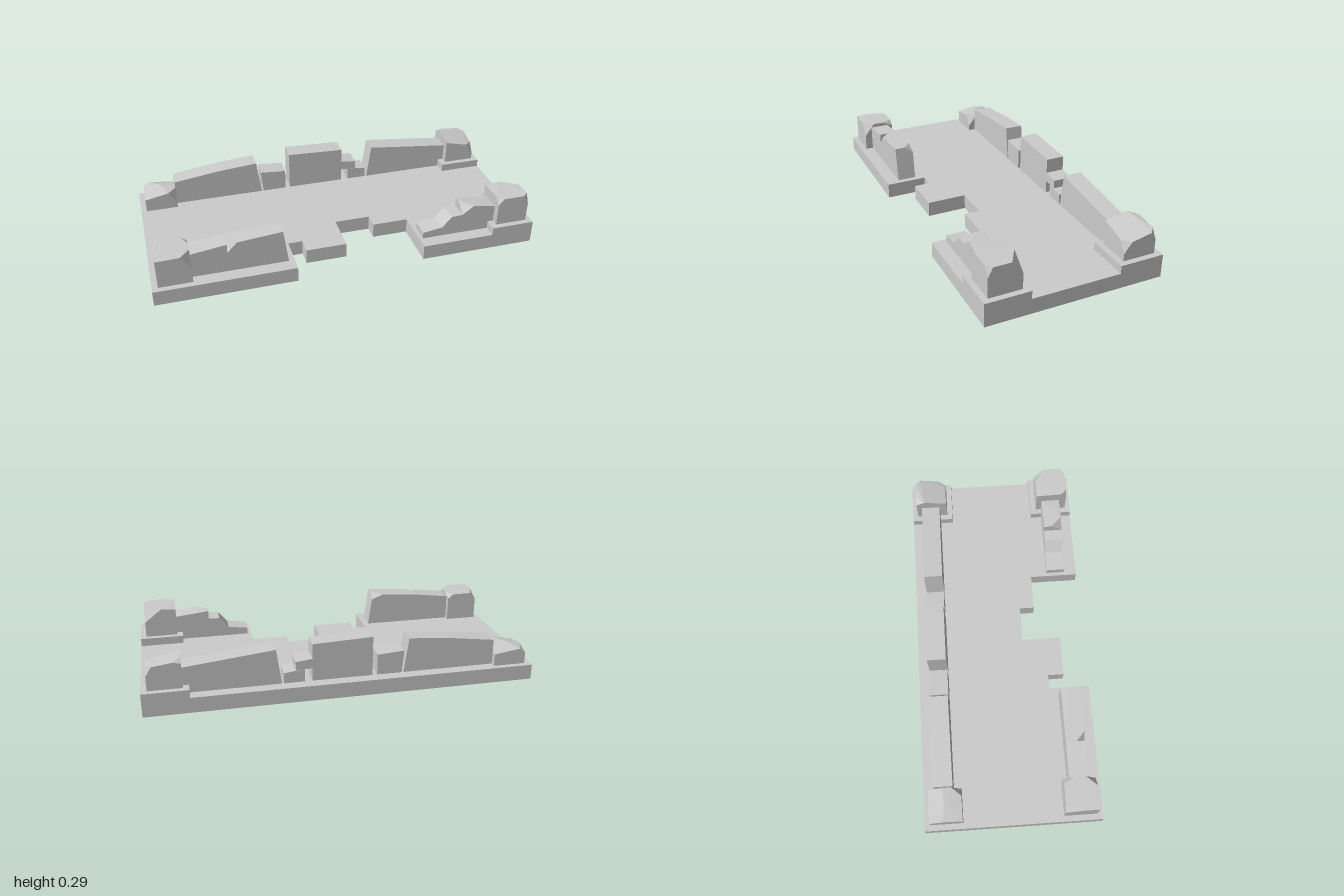
import * as THREE from 'three';
import { ConvexGeometry } from 'three/addons/geometries/ConvexGeometry.js';

const FLOOR = 0.08;

export function createModel() {
  const model = new THREE.Group();
  const stone = new THREE.MeshStandardMaterial({ color: 0xcccccc, flatShading: true });

  const add = (name, geometry) => {
    const mesh = new THREE.Mesh(geometry, stone);
    mesh.name = name;
    model.add(mesh);
    return mesh;
  };

  // Box given by its limits on each axis
  const block = (name, x0, x1, y0, y1, z0, z1) => {
    const mesh = add(name, new THREE.BoxGeometry(x1 - x0, y1 - y0, z1 - z0));
    mesh.position.set((x0 + x1) / 2, (y0 + y1) / 2, (z0 + z1) / 2);
  };

  // Broken stone: convex body around its corner points
  const rock = (name, points) =>
    add(name, new ConvexGeometry(points.map((p) => new THREE.Vector3(...p))));

  // Wall piece: side profile in x and y, pushed through its thickness in z
  const wall = (name, profile, z0, z1) => {
    const shape = new THREE.Shape(profile.map((p) => new THREE.Vector2(...p)));
    const geometry = new THREE.ExtrudeGeometry(shape, { depth: z1 - z0, bevelEnabled: false });
    add(name, geometry.translate(0, 0, z0));
  };

  // Post: square foot with a chipped top
  const post = (name, x0, x1, z0, z1, y0, top) => {
    const foot = [[x0, y0, z0], [x1, y0, z0], [x1, y0, z1], [x0, y0, z1]];
    rock(name, [...foot, ...top]);
  };

  // Floor slab with a broken front edge
  const outline = [
    [-1, -0.46], [1, -0.46], [1, 0.46], [0.385, 0.46], [0.385, 0.2], [0.195, 0.2], [0.195, 0.12],
    [0.005, 0.12], [0.005, 0.33], [-0.21, 0.33], [-0.21, 0.245], [-0.285, 0.245], [-0.285, 0.46], [-1, 0.46],
  ];
  const floor = new THREE.Shape(outline.map(([x, z]) => new THREE.Vector2(x, -z)));
  add('floorSlab', new THREE.ExtrudeGeometry(floor, { depth: FLOOR, bevelEnabled: false }).rotateX(-Math.PI / 2));

  // Plinths under the two posts at +x
  block('frontPlinth', 0.77, 1, FLOOR, 0.122, 0.23, 0.46);
  block('backPlinth', 0.77, 1, FLOOR, 0.122, -0.46, -0.23);

  // Corner posts
  post('frontLeftPost', 0.8, 0.97, 0.26, 0.43, 0.122, [
    [0.8, 0.27, 0.26], [0.88, 0.275, 0.26], [0.97, 0.205, 0.26], [0.97, 0.275, 0.315],
    [0.97, 0.275, 0.405], [0.97, 0.225, 0.43], [0.94, 0.275, 0.43],
    [0.83, 0.275, 0.43], [0.8, 0.24, 0.43], [0.8, 0.275, 0.4],
  ]);
  post('backLeftPost', 0.8, 0.97, -0.43, -0.26, 0.122, [
    [0.8, 0.25, -0.26], [0.93, 0.22, -0.26], [0.97, 0.16, -0.26], [0.97, 0.215, -0.3],
    [0.97, 0.238, -0.405], [0.97, 0.197, -0.43], [0.94, 0.245, -0.43],
    [0.84, 0.258, -0.43], [0.8, 0.25, -0.43], [0.8, 0.273, -0.38],
  ]);
  post('frontRightPost', -0.97, -0.8, 0.26, 0.43, FLOOR, [
    [-0.97, 0.2, 0.26], [-0.94, 0.235, 0.26], [-0.83, 0.235, 0.26], [-0.8, 0.21, 0.26],
    [-0.8, 0.235, 0.32], [-0.8, 0.235, 0.375], [-0.8, 0.165, 0.43],
    [-0.85, 0.235, 0.43], [-0.97, 0.232, 0.43], [-0.97, 0.235, 0.35],
  ]);
  post('backRightPost', -0.97, -0.8, -0.43, -0.26, FLOOR, [
    [-0.97, 0.14, -0.43], [-0.94, 0.165, -0.43], [-0.8, 0.145, -0.43], [-0.8, 0.175, -0.36],
    [-0.8, 0.175, -0.31], [-0.8, 0.11, -0.26], [-0.845, 0.175, -0.26],
    [-0.97, 0.15, -0.26], [-0.97, 0.165, -0.36], [-0.88, 0.185, -0.35],
  ]);

  // Back wall: two long sloping pieces, a tall middle and loose blocks
  const backWall = {
    backWallRight: [[-0.8, FLOOR], [-0.315, FLOOR], [-0.34, 0.265], [-0.55, 0.248], [-0.8, 0.215]],
    backWallLowBlock: [[-0.305, FLOOR], [-0.175, FLOOR], [-0.175, 0.19], [-0.315, 0.2]],
    backWallMiddle: [[-0.15, FLOOR], [0.16, FLOOR], [0.16, 0.278], [-0.15, 0.29]],
    backWallUpperStep: [[0.16, 0.148], [0.245, 0.145], [0.245, 0.19], [0.16, 0.2]],
    backWallLowerStep: [[0.2, FLOOR], [0.305, FLOOR], [0.305, 0.135], [0.2, 0.148]],
    backWallLeft: [[0.315, FLOOR], [0.8, FLOOR], [0.8, 0.215], [0.342, 0.265]],
  };
  for (const [name, profile] of Object.entries(backWall)) wall(name, profile, -0.4, -0.3);

  // Front wall, -x side: split at the gouge in its top edge
  const zi = 0.29, zo = 0.39;
  rock('frontWallOuterHalf', [
    ...[zi, zo].flatMap((z) => [[-0.8, FLOOR, z], [-0.62, FLOOR, z], [-0.62, 0.239, z], [-0.8, 0.215, z]]),
  ]);
  rock('frontWallInnerHalf', [
    [-0.62, FLOOR, zi], [-0.315, FLOOR, zi], [-0.62, FLOOR, zo], [-0.315, FLOOR, zo],
    [-0.62, 0.239, zi], [-0.62, 0.239, 0.345], [-0.62, 0.19, zo], [-0.57, 0.243, zo],
    [-0.34, 0.263, zo], [-0.34, 0.263, 0.335], [-0.335, 0.23, zi], [-0.4, 0.257, zi],
  ]);

  // Front wall, +x side: crumbled into steps
  wall('frontWallSteps', [
    [0.405, FLOOR], [0.64, FLOOR], [0.64, 0.19], [0.56, 0.187], [0.545, 0.17], [0.51, 0.13], [0.405, 0.115],
  ], zi, zo);
  rock('frontWallStub', [
    [0.62, FLOOR, zi], [0.8, FLOOR, zi], [0.62, FLOOR, zo], [0.8, FLOOR, zo],
    [0.62, 0.235, zi], [0.62, 0.235, 0.33], [0.62, 0.19, zo], [0.68, 0.235, zo],
    [0.8, 0.215, zi], [0.8, 0.215, zo],
  ]);

  return model;
}
